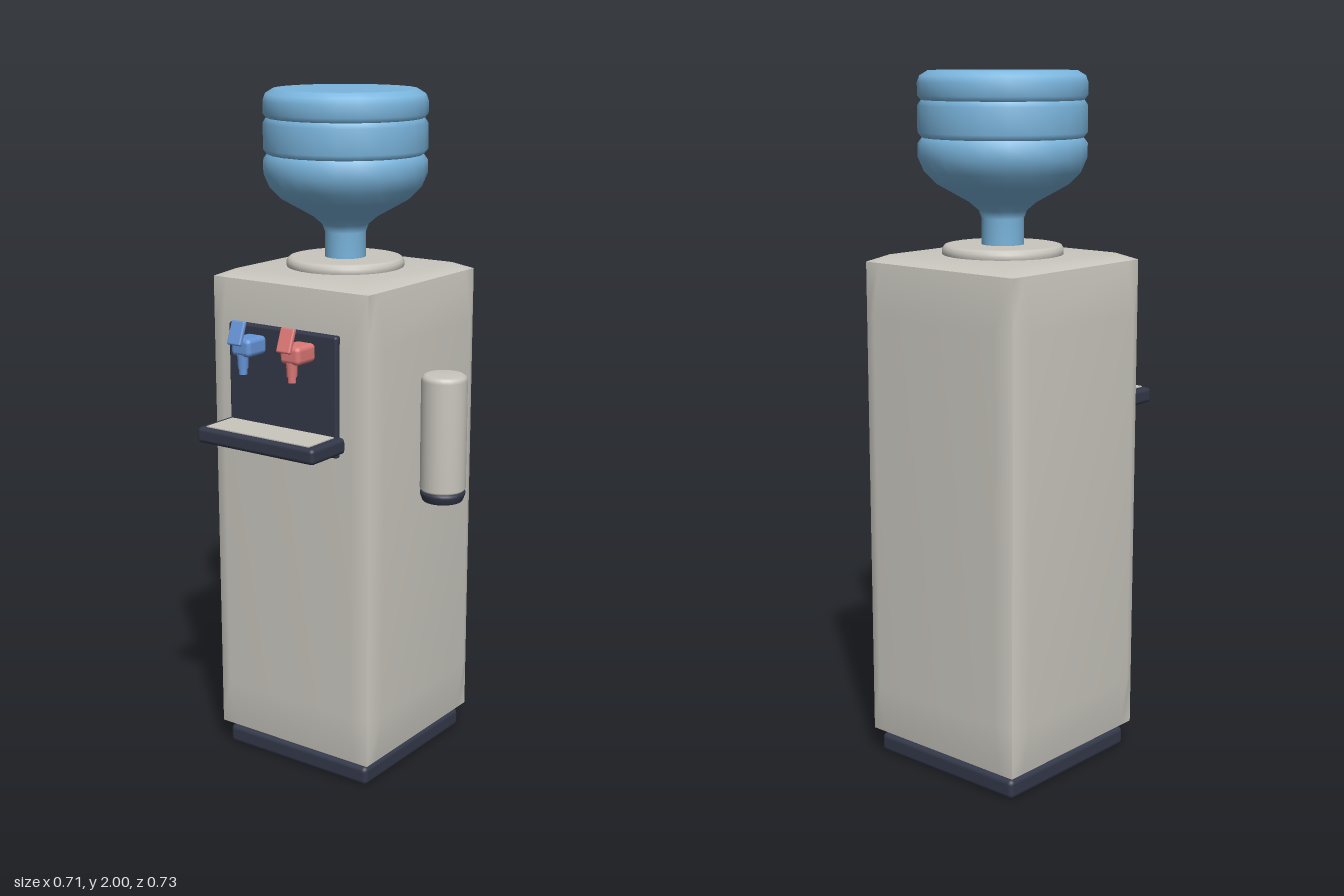
import * as THREE from 'three';
import { RoundedBoxGeometry } from 'three/addons/geometries/RoundedBoxGeometry.js';

const CX = -0.0625, CZ = -0.075; // axis of the cabinet and bottle

function flat(name, color) {
  const m = new THREE.MeshStandardMaterial({ color });
  m.name = name;
  return m;
}

export function createModel() {
  const shell = flat('warm grey plastic', 0xc9c6be);
  const dark = flat('dark plastic', 0x333849);
  const water = flat('blue bottle', 0x7ab5dd);
  const cold = flat('cold blue', 0x6795d8);
  const hot = flat('hot red', 0xdc7876);

  const root = new THREE.Group();
  root.name = 'waterCooler';

  function add(name, geometry, material, x, y, z, parent = root) {
    const mesh = new THREE.Mesh(geometry, material);
    mesh.name = name;
    mesh.position.set(x, y, z);
    parent.add(mesh);
    return mesh;
  }

  // Box given by its limits, with small bevels
  function block(name, material, [x0, x1], [y0, y1], [z0, z1], r, parent) {
    const g = new RoundedBoxGeometry(x1 - x0, y1 - y0, z1 - z0, 2, r);
    return add(name, g, material, (x0 + x1) / 2, (y0 + y1) / 2, (z0 + z1) / 2, parent);
  }

  const lathe = (points, sides) =>
    new THREE.LatheGeometry(points.map(([r, y]) => new THREE.Vector2(r, y)), sides);

  // Cabinet: a box whose six faces swell outward inside a tapered border
  const edge = [0.272, 0.7, 0.272], inner = [0.225, 0.55, 0.225], swell = [0.293, 0.72, 0.293];
  const cabinet = new THREE.BoxGeometry(2, 2, 2, 3, 3, 3);
  const pos = cabinet.attributes.position, nor = cabinet.attributes.normal;
  for (let i = 0; i < pos.count; i++) {
    const p = pos.getComponent.bind(pos, i);
    const v = [p(0), p(1), p(2)];
    const axis = [0, 1, 2].find((a) => Math.abs(nor.getComponent(i, a)) > 0.5);
    const onBorder = v.some((c, a) => a !== axis && Math.abs(c) > 0.9);
    v.forEach((c, a) => {
      let size = Math.abs(c) > 0.9 ? edge[a] : inner[a];
      if (a === axis && !onBorder) size = swell[a];
      pos.setComponent(i, a, Math.sign(c) * size);
    });
  }
  cabinet.computeVertexNormals();
  add('cabinet', cabinet, shell, CX, 0.775, CZ);

  block('base', dark, [CX - 0.258, CX + 0.258], [0, 0.058], [CZ - 0.258, CZ + 0.258], 0.015);

  // Collar and bottle
  add('collar', lathe([[0, 1.48], [0.165, 1.48], [0.172, 1.497], [0.172, 1.51],
    [0.165, 1.52], [0.155, 1.522], [0, 1.522]], 32), shell, CX, 0, CZ);
  const bottle = [[0.06, 1.5], [0.06, 1.595], [0.068, 1.617], [0.095, 1.64], [0.185, 1.69],
    [0.22, 1.725], [0.237, 1.765], [0.237, 1.802], [0.225, 1.818]];
  const ribs = [[0.225, 1.818], [0.237, 1.833], [0.237, 1.905], [0.227, 1.92]];
  const crown = [[0.227, 1.92], [0.237, 1.933], [0.237, 1.968], [0.23, 1.986], [0.207, 2]];
  const lid = [[0.207, 2], [0, 2]];
  const sections = { bottleShoulder: bottle, bottleRib: ribs, bottleCrown: crown, bottleTop: lid };
  for (const [name, points] of Object.entries(sections)) {
    add(name, lathe(points, 24), water, CX, 0, CZ);
  }

  // Tap panel and drip tray
  block('tapPanel', dark, [-0.253, 0.128], [1.01, 1.357], [0.205, 0.233], 0.008);
  block('dripTray', dark, [-0.269, 0.144], [1.024, 1.07], [0.205, 0.365], 0.012);
  add('dripGrille', new THREE.BoxGeometry(0.364, 0.006, 0.117), shell, CX, 1.07, 0.2905);

  // Two matching taps
  for (const [name, x, paint] of [['coldTap', -0.149, cold], ['hotTap', 0.024, hot]]) {
    const tap = new THREE.Group();
    tap.name = name;
    tap.position.x = x;
    root.add(tap);
    block('tapBody', paint, [-0.034, 0.034], [1.279, 1.332], [0.228, 0.312], 0.014, tap);
    add('nozzleTop', new THREE.CylinderGeometry(0.017, 0.015, 0.04, 10), paint, 0, 1.265, 0.297, tap);
    add('nozzle', new THREE.CylinderGeometry(0.012, 0.012, 0.05, 10), paint, 0, 1.253, 0.297, tap);
    const lever = add('lever', new RoundedBoxGeometry(0.048, 0.07, 0.013, 2, 0.005),
      paint, 0, 1.35, 0.322, tap);
    lever.rotation.x = -0.36;
  }

  // Cup dispenser on the left side
  const cups = new THREE.Group();
  cups.name = 'cupDispenser';
  cups.position.set(0.285, 0, CZ + 0.001);
  root.add(cups);
  add('cupTube', lathe([[0, 0.872], [0.06, 0.872], [0.067, 0.88], [0.067, 1.2],
    [0.063, 1.211], [0.054, 1.216], [0, 1.216]], 24), shell, 0, 0, 0, cups);
  add('cupOutlet', lathe([[0, 0.842], [0.057, 0.842], [0.06, 0.846], [0.066, 0.862],
    [0.066, 0.87], [0.06, 0.874], [0, 0.874]], 24), dark, 0, 0, 0, cups);

  return root;
}
